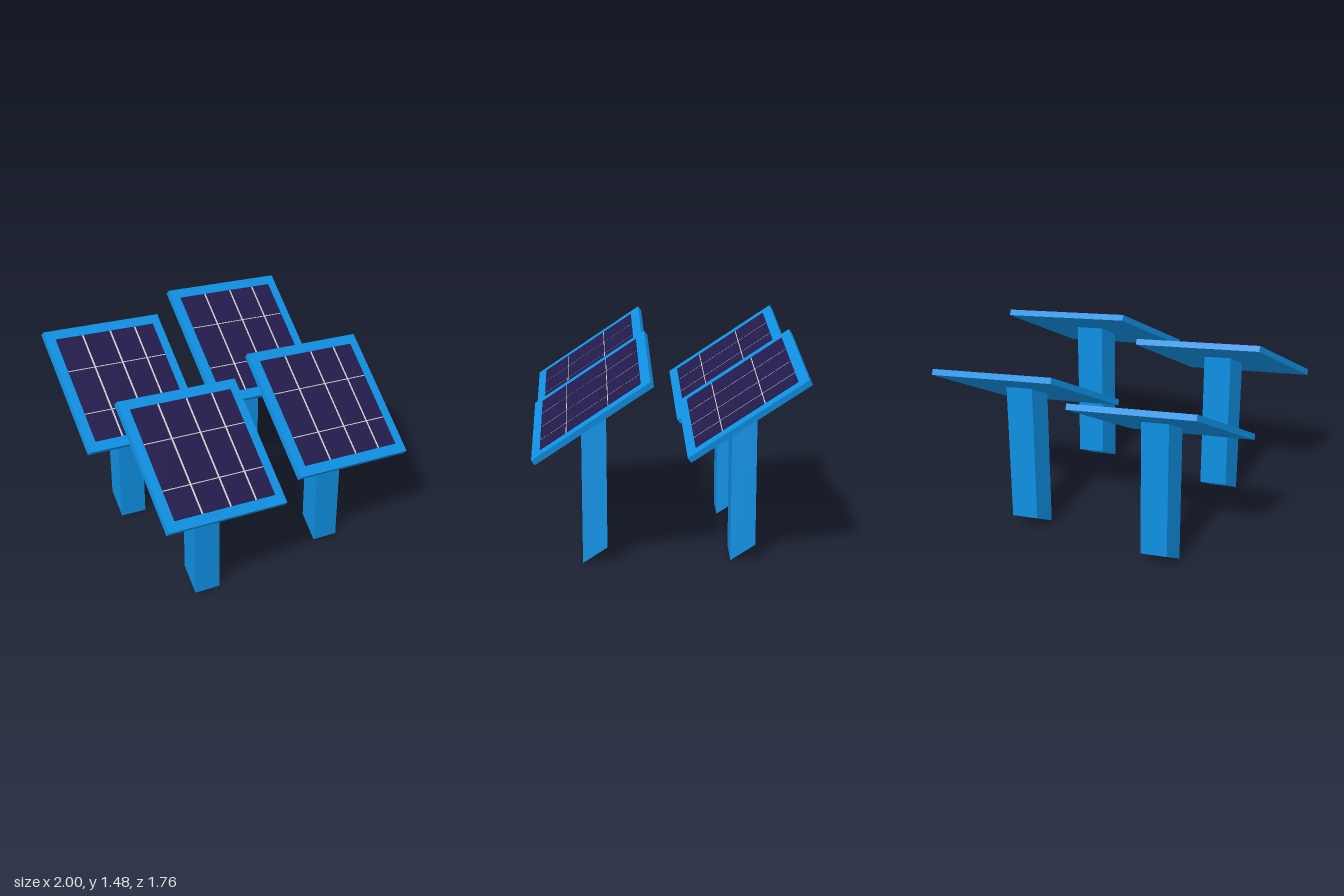
import * as THREE from 'three';

const blue = new THREE.MeshStandardMaterial({ color: 0x0f90e2 });
const dark = new THREE.MeshStandardMaterial({ color: 0x231b4c });
const grey = new THREE.MeshStandardMaterial({ color: 0xcccccc });

const TILT = new THREE.Euler(THREE.MathUtils.degToRad(35), 0, THREE.MathUtils.degToRad(-10), 'ZXY');
const SIZE = 0.913, THICK = 0.04, FIELD = 0.775, HEIGHT = 1.1275;

function box(name, material, w, h, d, x = 0, y = 0, z = 0) {
  const mesh = new THREE.Mesh(new THREE.BoxGeometry(w, h, d), material);
  mesh.name = name;
  mesh.position.set(x, y, z);
  return mesh;
}

// Start and end of each cell along one side, with a gap around every cut
function spans(cuts, gap) {
  const edges = [0, ...cuts, 1].map((f) => (f - 0.5) * FIELD);
  return edges.slice(1).map((end, i) => [
    edges[i] + (i > 0 ? gap / 2 : 0),
    end - (i < cuts.length ? gap / 2 : 0),
  ]);
}

// Tilted frame with a pale backing and a grid of raised cells
function makePanel() {
  const panel = new THREE.Group();
  panel.name = 'panel';
  panel.add(box('frame', blue, SIZE, THICK, SIZE));
  panel.add(box('backing', grey, FIELD - 0.002, 0.002, FIELD - 0.002, 0, THICK / 2));
  for (const [x0, x1] of spans([0.268, 0.55, 0.806], 0.016)) {
    for (const [z0, z1] of spans([0.32, 0.737], 0.008)) {
      panel.add(box('cell', dark, x1 - x0, 0.006, z1 - z0, (x0 + x1) / 2, THICK / 2 + 0.002, (z0 + z1) / 2));
    }
  }
  panel.rotation.copy(TILT);
  panel.position.y = HEIGHT;
  return panel;
}

// Upright post whose ends are cut parallel to the panel
function makePost() {
  const geometry = new THREE.BoxGeometry(0.2, 1, 0.2);
  const under = new THREE.Vector3(0, -THICK / 2, 0).applyEuler(TILT);
  const bottom = 0.074, top = HEIGHT + under.y;
  const pos = geometry.attributes.position;
  const v = new THREE.Vector3();
  for (let i = 0; i < pos.count; i++) {
    v.fromBufferAttribute(pos, i);
    const level = v.y < 0 ? bottom : top;
    v.setY(0).applyEuler(TILT);
    pos.setXYZ(i, v.x + under.x, v.y + level, v.z + under.z);
  }
  geometry.computeVertexNormals();
  const post = new THREE.Mesh(geometry, blue);
  post.name = 'post';
  return post;
}

export function createModel() {
  const model = new THREE.Group();
  model.name = 'solarPanelArray';
  for (const x of [-0.501, 0.501]) {
    for (const z of [-0.494, 0.494]) {
      const unit = new THREE.Group();
      unit.name = 'solarPanel';
      unit.add(makePanel(), makePost());
      unit.position.set(x, 0, z);
      model.add(unit);
    }
  }
  return model;
}
